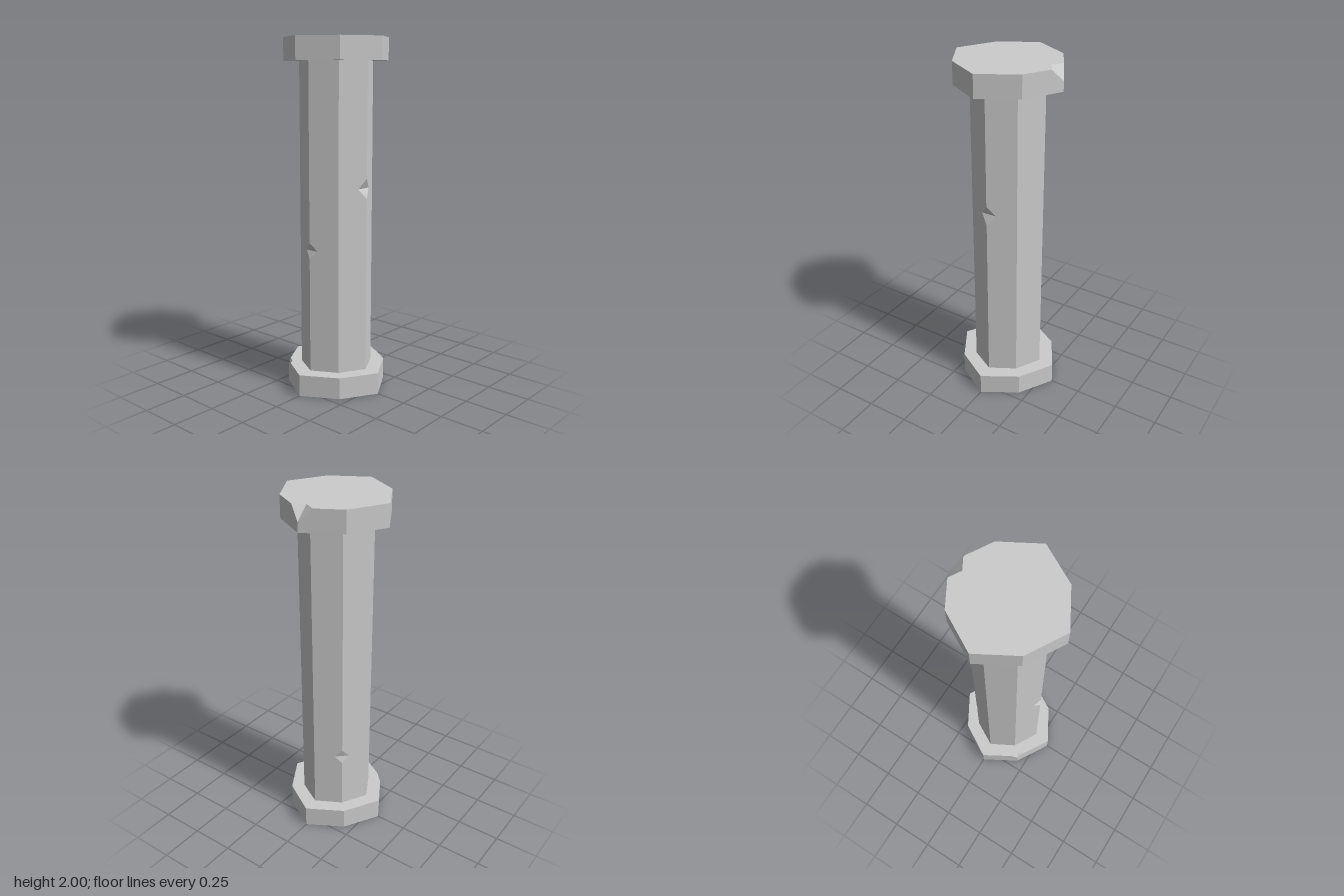
import * as THREE from 'three';
import { mergeGeometries } from 'three/addons/utils/BufferGeometryUtils.js';

const SIDES = 8;

// Flat outline, triangulated and then placed in space by a rule (u, v) -> point
function panel(outline, place) {
  const g = new THREE.ShapeGeometry(new THREE.Shape(outline.map(([u, v]) => new THREE.Vector2(u, v)))).toNonIndexed();
  const p = g.attributes.position;
  for (let i = 0; i < p.count; i++) {
    const q = place(p.getX(i), p.getY(i));
    p.setXYZ(i, q.x, q.y, q.z);
  }
  g.deleteAttribute('uv');
  g.deleteAttribute('normal');
  return g;
}

function triangle(a, b, c) {
  return new THREE.BufferGeometry().setFromPoints([a, b, c]);
}

// Eight-sided prism with a wider radius on the axes than on the diagonals.
// notches: { k, y, h, t } diamond nicks on corner edges, t = share of the wall width
// chip: { k, t, drop } corner broken off at the upper rim
function chippedPrism({ axisR, diagonal, y0, y1, notches = [], chip, closed }) {
  const corner = (k, y) => {
    const a = k * Math.PI / 4;
    const r = k % 2 ? diagonal * Math.SQRT2 : axisR;
    return new THREE.Vector3(r * Math.sin(a), y, r * Math.cos(a));
  };
  const along = (k, u, y) => corner(k, y).lerp(corner((k + 1) % SIDES, y), u);
  const before = (k, t, y) => along((k + SIDES - 1) % SIDES, 1 - t, y);
  const parts = [];

  // Walls, their upright edges cut where a corner is damaged
  for (let k = 0; k < SIDES; k++) {
    const edge = (c, u, dir) => {
      const pts = [[u, y0]];
      for (const n of notches.filter(n => n.k === c)) {
        pts.push([u, n.y - n.h], [u + dir * n.t, n.y], [u, n.y + n.h]);
      }
      if (chip && chip.k === c) pts.push([u, y1 - chip.drop], [u + dir * chip.t, y1]);
      else pts.push([u, y1]);
      return pts;
    };
    const outline = [...edge((k + 1) % SIDES, 1, -1), ...edge(k, 0, 1).reverse()];
    parts.push(panel(outline, (u, y) => along(k, u, y)));
  }

  // Nick faces: one sloping up, one sloping down
  for (const { k, y, h, t } of notches) {
    const left = before(k, t, y), right = along(k, t, y);
    parts.push(triangle(corner(k, y + h), left, right), triangle(left, corner(k, y - h), right));
  }

  // Broken rim corner: two faces meeting in a shallow valley
  const rim = [];
  for (let k = 0; k < SIDES; k++) {
    if (!chip || chip.k !== k) { rim.push(corner(k, y1)); continue; }
    const left = before(k, chip.t, y1), right = along(k, chip.t, y1);
    const inner = left.clone().add(right).sub(corner(k, y1));
    const low = corner(k, y1 - chip.drop);
    parts.push(triangle(left, low, inner), triangle(low, right, inner));
    rim.push(left, inner, right);
  }

  // Top and bottom
  if (closed) {
    const base = Array.from({ length: SIDES }, (_, k) => corner(k, y0));
    parts.push(panel(rim.map(p => [p.x, -p.z]), (u, v) => new THREE.Vector3(u, y1, -v)));
    parts.push(panel(base.map(p => [p.x, p.z]), (u, v) => new THREE.Vector3(u, y0, v)));
  }

  const g = mergeGeometries(parts);
  g.computeVertexNormals();
  return g;
}

export function createModel() {
  const group = new THREE.Group();
  group.name = 'column';
  const material = new THREE.MeshStandardMaterial({ color: 0xcccccc, flatShading: true });
  const add = (name, spec) => {
    const mesh = new THREE.Mesh(chippedPrism(spec), material);
    mesh.name = name;
    group.add(mesh);
  };

  add('base', {
    axisR: 0.317, diagonal: 0.2, y0: 0, y1: 0.125, closed: true,
    chip: { k: 7, t: 0.18, drop: 0.037 },
  });
  add('shaft', {
    axisR: 0.225, diagonal: 0.145, y0: 0.125, y1: 1.875,
    notches: [
      { k: 0, y: 0.83, h: 0.048, t: 0.28 },
      { k: 2, y: 1.18, h: 0.057, t: 0.31 },
      { k: 5, y: 0.47, h: 0.045, t: 0.26 },
    ],
  });
  add('capital', {
    axisR: 0.323, diagonal: 0.206, y0: 1.875, y1: 2, closed: true,
    chip: { k: 4, t: 0.317, drop: 0.07 },
  });
  return group;
}
